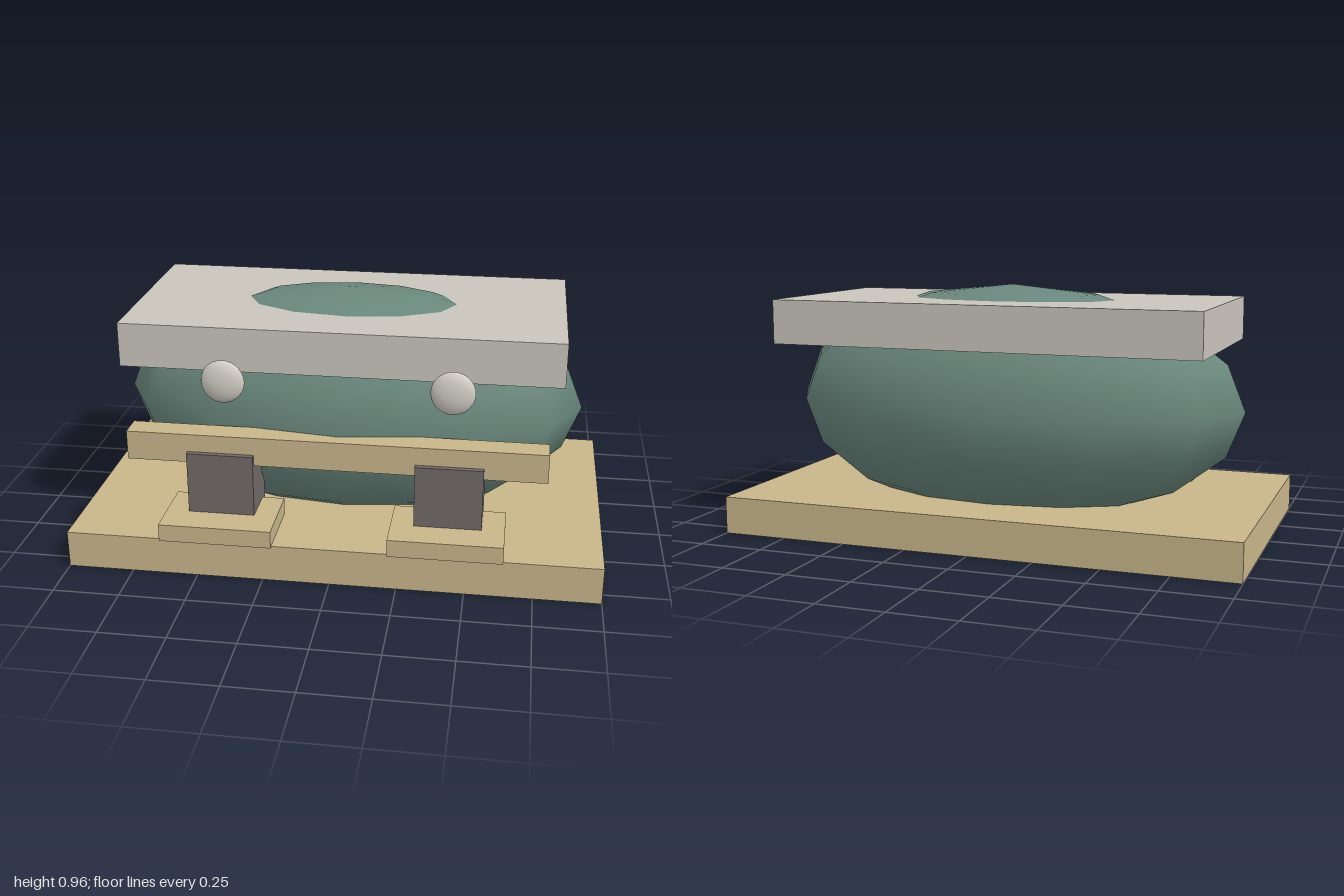
import * as THREE from 'three';

export function createModel() {
  const model = new THREE.Group();
  const material = (name, color) => {
    const m = new THREE.MeshStandardMaterial({ color });
    m.name = name;
    return m;
  };
  const wood = material('pale wood', 0xc8b68a);
  const stone = material('light stone', 0xc9c5bc);
  const green = material('muted green', 0x6a887d);
  const dark = material('dark grey', 0x706a67);
  const pearl = material('pearl', 0xd2cdc5);

  const add = (name, geometry, mat, x, y, z) => {
    const mesh = new THREE.Mesh(geometry, mat);
    mesh.name = name;
    mesh.position.set(x, y, z);
    model.add(mesh);
    return mesh;
  };
  // Box given by its extents along each axis
  const box = (name, mat, [x0, x1], [y0, y1], [z0, z1]) =>
    add(name, new THREE.BoxGeometry(x1 - x0, y1 - y0, z1 - z0), mat,
      (x0 + x1) / 2, (y0 + y1) / 2, (z0 + z1) / 2);

  // Ground slab, rounded body and the flat block it pokes through
  box('base', wood, [-1, 1], [0, 0.143], [-0.58, 0.565]);
  add('body', new THREE.SphereGeometry(1, 12, 8), green, 0, 0.5, -0.08)
    .scale.set(0.912, 0.456, 0.456);
  box('topSlab', stone, [-0.828, 0.828], [0.733, 0.902], [-0.478, 0.322]);

  // Crossbar in front of the body
  box('crossbar', wood, [-0.785, 0.785], [0.403, 0.515], [0.33, 0.43]);

  // Mirrored eyes, legs and feet
  for (const [side, s] of [['left', 1], ['right', -1]]) {
    const cx = s * 0.427;
    add(side + 'Eye', new THREE.SphereGeometry(1, 20, 14), pearl, cx, 0.704, 0.353)
      .scale.set(0.083, 0.083, 0.033);
    box(side + 'Leg', dark, [cx - 0.126, cx + 0.126], [0.16, 0.446], [0.253, 0.451]);
    box(side + 'Foot', wood, [cx - 0.212, cx + 0.212], [0.14, 0.207], [0.295, 0.576]);
  }
  return model;
}
